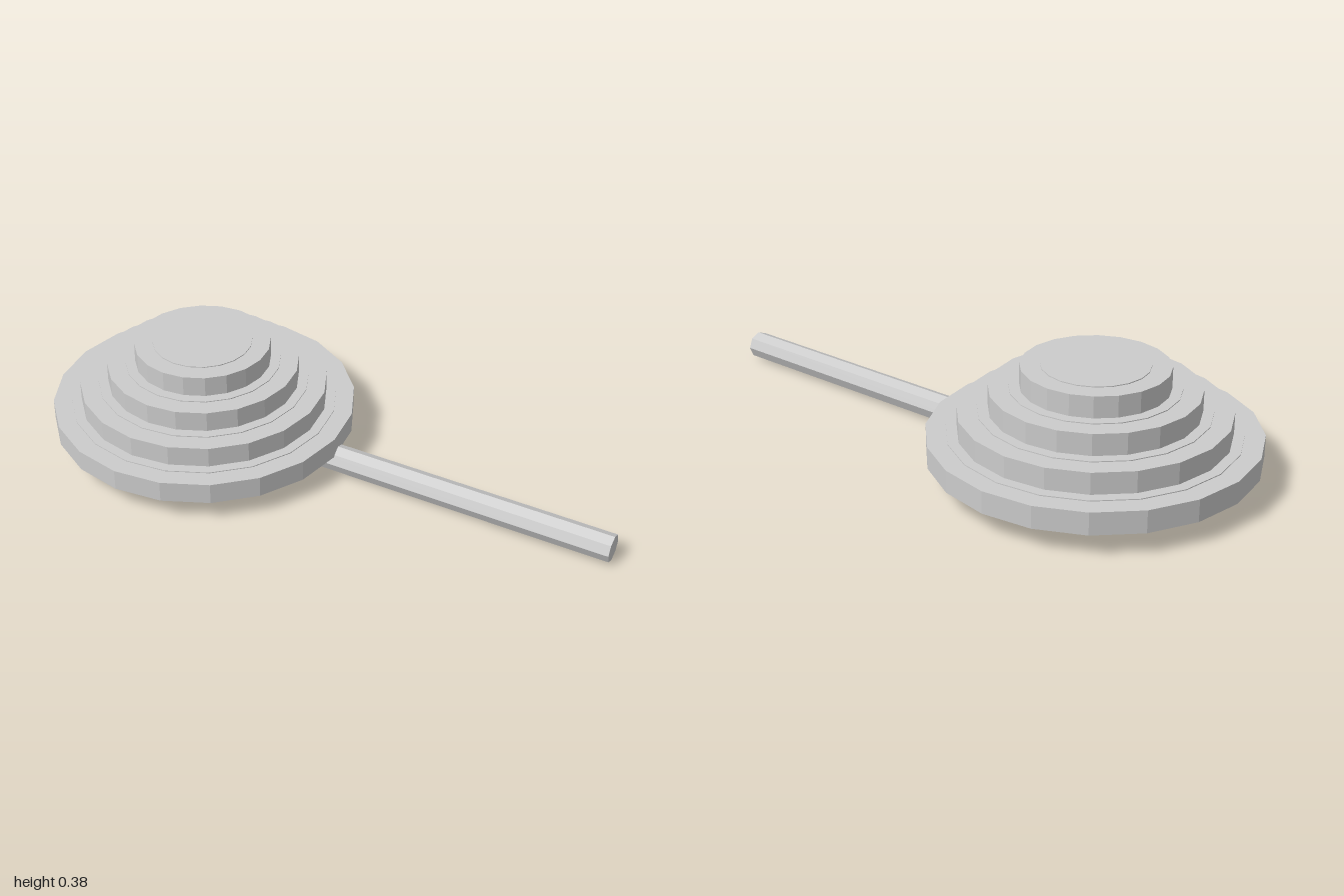
import * as THREE from 'three';

export function createModel() {
  const model = new THREE.Group();
  const material = new THREE.MeshStandardMaterial({ color: 0xcccccc, flatShading: true });

  const addCylinder = (name, parent, radius, height, sides, y) => {
    const mesh = new THREE.Mesh(new THREE.CylinderGeometry(radius, radius, height, sides), material);
    mesh.name = name;
    mesh.position.y = y;
    parent.add(mesh);
    return mesh;
  };

  // Four stacked discs, each with a thin raised plate on its top
  const discs = new THREE.Group();
  discs.name = 'steppedDisc';
  discs.position.set(-0.46, 0, 0.022);
  model.add(discs);
  const tierHeight = 0.075, plateHeight = 0.003;
  for (let i = 0; i < 4; i++) {
    const radius = 0.54 - i * 0.1;
    const bottom = tierHeight * (i + 1);
    addCylinder(`tier${i + 1}`, discs, radius, tierHeight, 20, bottom + tierHeight / 2);
    addCylinder(`plate${i + 1}`, discs, radius - 0.065, plateHeight, 20, bottom + tierHeight + plateHeight / 2);
  }

  // Octagonal handle lying under the lowest disc
  const handle = new THREE.Group();
  handle.name = 'handle';
  handle.position.set(0.325, 0.048, -0.283);
  handle.rotation.y = THREE.MathUtils.degToRad(20.2);
  addCylinder('handleRod', handle, 0.048, 1.4, 8, 0).rotation.z = -Math.PI / 2;
  model.add(handle);

  return model;
}
